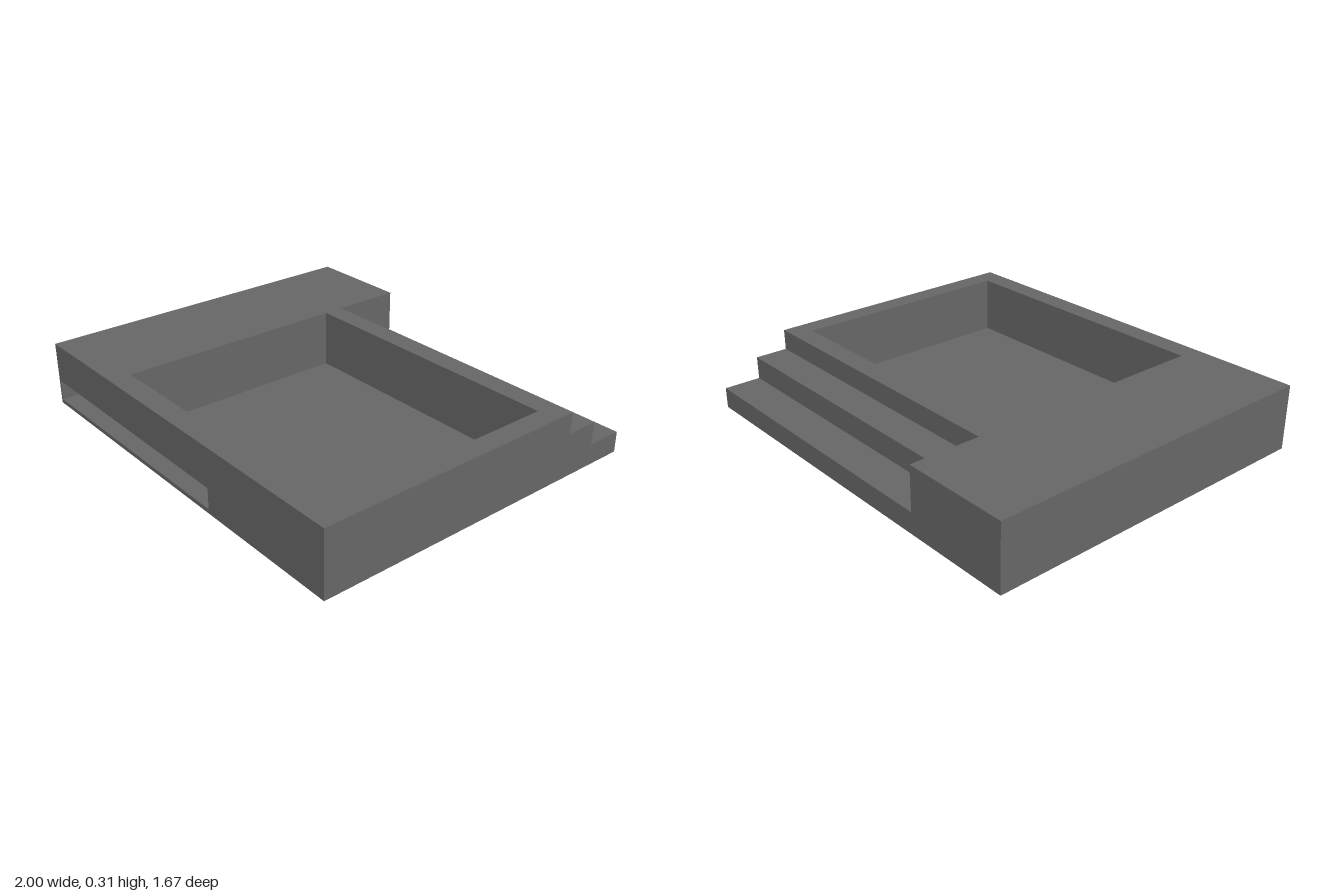
import * as THREE from 'three';

// Outer block and the box-shaped recesses cut from it: [min xyz, max xyz]
const BLOCK = [[-1, 0, -0.835], [1, 0.31, 0.835]];
const CUTS = [
  { name: 'basin', min: [-0.48, 0.03, -0.395], max: [0.9, 0.31, 0.73] },
  { name: 'upperStep', min: [-0.48, 0.21, -0.655], max: [1, 0.31, -0.495] },
  { name: 'lowerStep', min: [-0.48, 0.1, -0.835], max: [1, 0.31, -0.655] },
  { name: 'frontSlot', min: [-0.99, 0.02, 0.735], max: [0.27, 0.12, 0.835] },
];

// Name of the empty space at a point, or null inside solid material
function spaceAt(p) {
  if (p.some((v, a) => v < BLOCK[0][a] || v > BLOCK[1][a])) return 'block';
  const cut = CUTS.find((c) => p.every((v, a) => v > c.min[a] && v < c.max[a]));
  return cut ? cut.name : null;
}

export function createModel() {
  const group = new THREE.Group();
  group.name = 'steppedTray';
  const grey = new THREE.MeshStandardMaterial({ color: 0x666666 });
  grey.name = 'darkGrey';

  // Grid planes along each axis, taken from the block and the recesses
  const planes = [0, 1, 2].map((a) => {
    const all = [BLOCK[0][a], BLOCK[1][a], ...CUTS.flatMap((c) => [c.min[a], c.max[a]])];
    return [...new Set(all)].sort((m, n) => m - n);
  });

  // Collect the faces between solid cells and each neighbouring space
  const faces = {};
  const addFace = (name, lo, hi, axis, side) => {
    const u = (axis + 1) % 3, v = (axis + 2) % 3;
    const corner = (i, j) => {
      const p = [0, 0, 0];
      p[axis] = side > 0 ? hi[axis] : lo[axis];
      p[u] = i ? hi[u] : lo[u];
      p[v] = j ? hi[v] : lo[v];
      return p;
    };
    const quad = [corner(0, 0), corner(1, 0), corner(1, 1), corner(0, 1)];
    if (side < 0) quad.reverse();
    (faces[name] ??= []).push(...[0, 1, 2, 0, 2, 3].flatMap((k) => quad[k]));
  };

  const [xs, ys, zs] = planes;
  for (let i = 0; i < xs.length - 1; i++)
    for (let j = 0; j < ys.length - 1; j++)
      for (let k = 0; k < zs.length - 1; k++) {
        const lo = [xs[i], ys[j], zs[k]];
        const hi = [xs[i + 1], ys[j + 1], zs[k + 1]];
        const mid = lo.map((v, a) => (v + hi[a]) / 2);
        if (spaceAt(mid)) continue;
        for (let axis = 0; axis < 3; axis++)
          for (const side of [-1, 1]) {
            const next = [...mid];
            next[axis] = (side > 0 ? hi : lo)[axis] + side * 0.001;
            const space = spaceAt(next);
            if (space) addFace(space, lo, hi, axis, side);
          }
      }

  // One mesh for the block's outside and one for each recess
  for (const [name, positions] of Object.entries(faces)) {
    const geometry = new THREE.BufferGeometry();
    geometry.setAttribute('position', new THREE.Float32BufferAttribute(positions, 3));
    geometry.computeVertexNormals();
    const mesh = new THREE.Mesh(geometry, grey);
    mesh.name = name;
    group.add(mesh);
  }
  return group;
}
